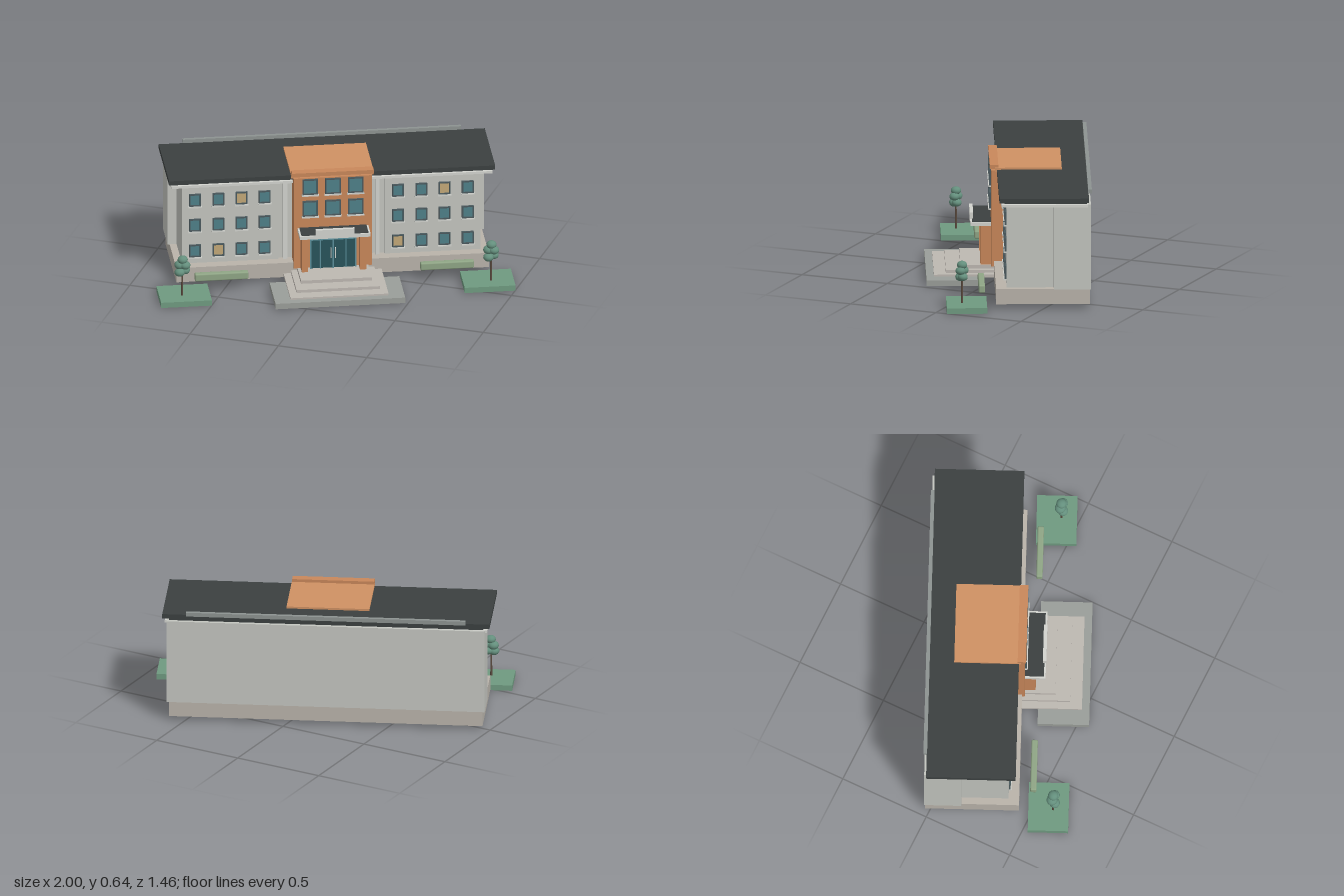
import * as THREE from 'three';
import { RoundedBoxGeometry } from 'three/addons/geometries/RoundedBoxGeometry.js';

const mat = (color) => new THREE.MeshStandardMaterial({ color });
const M = {
  wall: mat(0xc3c5bf), trim: mat(0xd2d3ce), plinth: mat(0xb9b3aa), roof: mat(0x3b4040),
  ridge: mat(0x8d9391), orange: mat(0xc8875a), orangeTop: mat(0xcf9163), frame: mat(0x4b5a5e),
  glass: mat(0x4f8088), lit: mat(0xc2a878), door: mat(0x28535b), doorFrame: mat(0x5b8f9b),
  paving: mat(0x9a9e99), step: mat(0xbdb8b1), grass: mat(0x6f9a80), hedge: mat(0x8fa585),
  leaf: mat(0x648f7d), trunk: mat(0x5a4a3e),
};

// Box given by its limits along each axis
function box(parent, name, material, x0, x1, y0, y1, z0, z1) {
  const m = new THREE.Mesh(new THREE.BoxGeometry(x1 - x0, y1 - y0, z1 - z0), material);
  m.position.set((x0 + x1) / 2, (y0 + y1) / 2, (z0 + z1) / 2);
  m.name = name;
  parent.add(m);
  return m;
}

// Box centred on the building's middle line
const wide = (parent, name, material, half, y0, y1, z0, z1) =>
  box(parent, name, material, -half, half, y0, y1, z0, z1);

// Framed window with its own sill, standing on a wall at z
function addWindow(parent, x, y, z, w, h, isLit) {
  const g = new THREE.Group();
  g.name = 'window';
  g.position.set(x, y, z);
  const a = w / 2, b = h / 2, t = 0.007;
  box(g, 'windowPane', isLit ? M.lit : M.glass, -a + t, a - t, -b + t, b - t, -0.004, 0.004);
  for (const s of [-1, 1]) {
    const c = s * (a - t / 2), d = s * (b - t / 2);
    box(g, 'windowJamb', M.frame, c - t / 2, c + t / 2, -b, b, -0.004, 0.01);
    box(g, 'windowRail', M.frame, -a + t, a - t, d - t / 2, d + t / 2, -0.004, 0.01);
  }
  box(g, 'windowSill', M.trim, -a - 0.004, a + 0.004, -b - 0.008, -b, -0.004, 0.015);
  parent.add(g);
}

function addTree(parent, x, z) {
  const g = new THREE.Group();
  g.name = 'tree';
  g.position.set(x, 0, z);
  const trunk = new THREE.Mesh(new THREE.CylinderGeometry(0.004, 0.006, 0.17, 8), M.trunk);
  trunk.position.y = 0.105;
  trunk.name = 'trunk';
  g.add(trunk);
  const crown = [[-0.014, 0.172, 0.008, 0.029], [0.016, 0.178, -0.004, 0.027],
    [-0.012, 0.21, -0.006, 0.03], [0.016, 0.212, 0.008, 0.028], [0.003, 0.242, 0, 0.028]];
  for (const [cx, cy, cz, r] of crown) {
    const leaf = new THREE.Mesh(new THREE.SphereGeometry(r, 14, 10), M.leaf);
    leaf.position.set(cx, cy, cz);
    leaf.scale.y = 0.8;
    leaf.name = 'crown';
    g.add(leaf);
  }
  parent.add(g);
}

function buildMainBlock(g) {
  wide(g, 'plinth', M.plinth, 0.848, 0.024, 0.108, -0.42, 0.086);
  wide(g, 'rearBlock', M.wall, 0.86, 0.108, 0.58, -0.425, -0.225);
  wide(g, 'coreBlock', M.wall, 0.3, 0.108, 0.566, -0.225, 0.012);
  wide(g, 'cornice', M.trim, 0.872, 0.566, 0.58, -0.41, 0.058);
  wide(g, 'roofBed', M.roof, 0.85, 0.58, 0.592, -0.405, 0.04);
  wide(g, 'roof', M.roof, 0.885, 0.592, 0.617, -0.414, 0.069);
  wide(g, 'rearParapet', M.ridge, 0.756, 0.615, 0.637, -0.432, -0.412);

  // Two wings with three rows of four windows
  const litPanes = ['-1,0,1', '-1,2,2', '1,0,0', '1,2,2'];
  for (const s of [-1, 1]) {
    const [a, b] = s < 0 ? [-0.81, -0.288] : [0.288, 0.81];
    box(g, 'wing', M.wall, a, b, 0.108, 0.566, -0.225, 0.029);
    box(g, 'tower pilaster', M.trim, s * 0.25 - 0.012, s * 0.25 + 0.012, 0.108, 0.566, 0, 0.034);
    [0.182, 0.334, 0.482].forEach((y, row) => {
      for (let i = 0; i < 4; i++) {
        const col = s < 0 ? 3 - i : i;
        addWindow(g, s * (0.362 + 0.126 * i), y, 0.029, 0.064, 0.072,
          litPanes.includes(`${s},${row},${col}`));
      }
    });
  }
}

function buildTower(g) {
  wide(g, 'tower', M.orange, 0.212, 0.078, 0.61, -0.2, 0.1);
  wide(g, 'towerRoof', M.orangeTop, 0.224, 0.605, 0.628, -0.28, 0.08);
  wide(g, 'towerParapet', M.orange, 0.222, 0.622, 0.644, 0.062, 0.108);
  for (const y of [0.432, 0.56])
    for (const i of [-1, 0, 1]) addWindow(g, i * 0.123, y, 0.1, 0.084, 0.09, false);
}

function buildEntrance(g) {
  // Glazed doors
  wide(g, 'doorGlass', M.door, 0.125, 0.08, 0.297, 0.095, 0.112);
  wide(g, 'doorTransom', M.doorFrame, 0.125, 0.246, 0.252, 0.11, 0.118);
  for (const x of [-0.122, -0.07, 0, 0.07, 0.122])
    box(g, 'doorMullion', M.doorFrame, x - 0.003, x + 0.003, 0.08, 0.297, 0.11, 0.119);
  for (const s of [-1, 1]) {
    box(g, 'portalColumn', M.orange, s * 0.158 - 0.017, s * 0.158 + 0.017, 0.078, 0.297, 0.1, 0.158);
    box(g, 'doorHandle', M.trim, s * 0.012 - 0.002, s * 0.012 + 0.002, 0.14, 0.2, 0.115, 0.124);
  }
  // Canopy with a blank board on its front edge
  wide(g, 'canopy', M.trim, 0.192, 0.297, 0.316, 0.1, 0.212);
  wide(g, 'canopyTop', M.roof, 0.182, 0.316, 0.319, 0.1, 0.203);
  wide(g, 'canopyBoard', M.trim, 0.105, 0.308, 0.35, 0.195, 0.214);
  // Steps
  const steps = [[0.266, 0.046, 0.41], [0.226, 0.062, 0.345], [0.192, 0.08, 0.265]];
  for (const [half, top, front] of steps) wide(g, 'step', M.step, half, 0.03, top, 0.08, front);
}

function buildGrounds(g) {
  wide(g, 'paving', M.paving, 0.352, 0.004, 0.036, 0.173, 0.451);
  for (const s of [-1, 1]) {
    const x = s * 0.824;
    box(g, 'lawn', M.grass, x - 0.138, x + 0.138, 0, 0.031, 0.136, 0.354);
    addTree(g, s * 0.838, 0.27);
    const hedge = new THREE.Mesh(new RoundedBoxGeometry(0.29, 0.044, 0.034, 3, 0.008), M.hedge);
    hedge.position.set(s * 0.612, 0.085, 0.161);
    hedge.name = 'hedge';
    g.add(hedge);
  }
}

export function createModel() {
  const model = new THREE.Group();
  model.name = 'building';
  // The whole site is turned relative to the front
  const site = new THREE.Group();
  site.name = 'site';
  site.rotation.y = 0.426;
  site.position.set(-0.02, 0, 0.009);
  model.add(site);
  for (const [name, build] of [['mainBlock', buildMainBlock], ['centralTower', buildTower],
    ['entrance', buildEntrance], ['grounds', buildGrounds]]) {
    const part = new THREE.Group();
    part.name = name;
    build(part);
    site.add(part);
  }
  return model;
}
